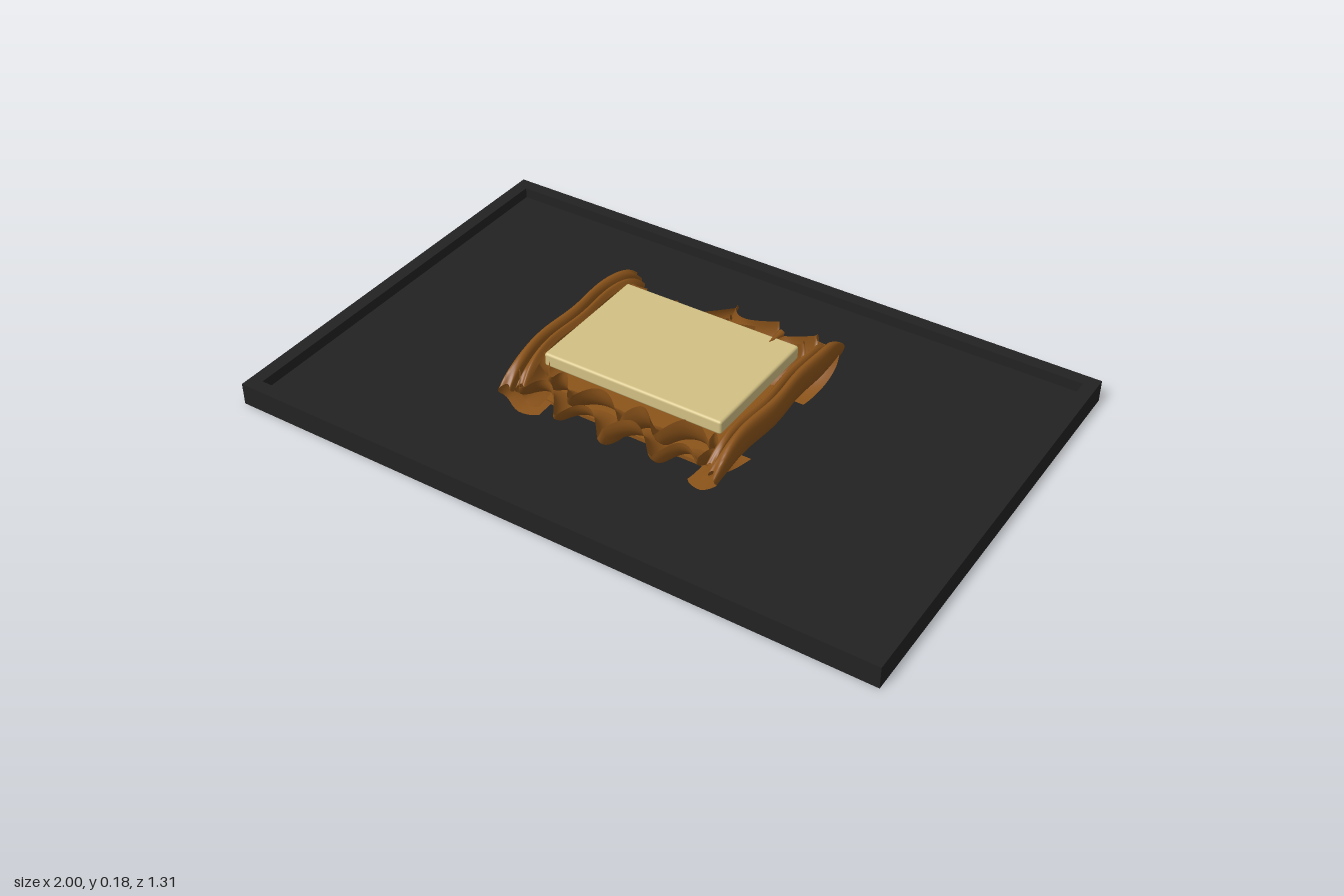
import * as THREE from 'three';
import { RoundedBoxGeometry } from 'three/addons/geometries/RoundedBoxGeometry.js';

const mat = (name, color, side = THREE.FrontSide) => {
  const m = new THREE.MeshStandardMaterial({ color, side });
  m.name = name;
  return m;
};

// Smooth sheet: point(u, v) places each vertex of a grid
function sheet(nu, nv, point) {
  const geo = new THREE.PlaneGeometry(1, 1, nu, nv);
  const pos = geo.attributes.position;
  for (let i = 0; i < pos.count; i++) {
    const p = point(pos.getX(i) + 0.5, pos.getY(i) + 0.5);
    pos.setXYZ(i, p[0], p[1], p[2]);
  }
  geo.computeVertexNormals();
  return geo;
}

export function createModel() {
  const group = new THREE.Group();
  const slate = mat('charcoal', 0x222222);
  const cream = mat('cream', 0xd2c083);
  const brown = mat('caramel brown', 0x8c541a, THREE.DoubleSide);
  const add = (name, geo, material, x = 0, y = 0, z = 0) => {
    const m = new THREE.Mesh(geo, material);
    m.name = name;
    m.position.set(x, y, z);
    group.add(m);
  };

  // Tray: floor plate with a raised rim
  const W = 1, D = 0.655, H = 0.068, R = 0.04, floorY = 0.035;
  const rect = (C, w, d) => {
    const s = new C();
    s.moveTo(-w, -d); s.lineTo(w, -d); s.lineTo(w, d); s.lineTo(-w, d); s.closePath();
    return s;
  };
  const rim = rect(THREE.Shape, W, D);
  rim.holes.push(rect(THREE.Path, W - R, D - R));
  const rimGeo = new THREE.ExtrudeGeometry(rim, { depth: H, bevelEnabled: false });
  rimGeo.rotateX(-Math.PI / 2);
  add('trayRim', rimGeo, slate);
  add('trayFloor', new THREE.BoxGeometry(2 * (W - R), floorY, 2 * (D - R)), slate, 0, floorY / 2);

  // Slab resting in the wrapper
  add('slab', new RoundedBoxGeometry(0.57, 0.043, 0.41, 3, 0.008), cream, -0.005, 0.1565, -0.005);

  // Wrapper underside
  add('wrapperBase', new THREE.BoxGeometry(0.6, 0.012, 0.46), brown, 0, floorY + 0.006);

  // Ruffled ends: [x, reach] for each pointed tip, rounded valleys between
  const ruffle = (tips, dir) => (u, v) => {
    const x0 = tips[0][0], x1 = tips[tips.length - 1][0];
    const x = x0 + (x1 - x0) * u;
    let k = 0;
    while (k < tips.length - 2 && x > tips[k + 1][0]) k++;
    const [a, b] = [tips[k], tips[k + 1]];
    const f = THREE.MathUtils.clamp((x - a[0]) / (b[0] - a[0]), 0, 1);
    const dip = Math.sin(Math.PI * Math.pow(f, 0.75));
    const reach = a[1] + (b[1] - a[1]) * f - dip * Math.min(0.075, (b[0] - a[0]) * 0.55);
    const height = 0.08 + 0.018 * dip + 0.012 * Math.sin(k * 2.3 + 1);
    const t = v * Math.PI / 2;
    const z = 0.14 + (reach - 0.14) * Math.sin(t);
    const sweep = 0.03 * Math.sin(x * 9 + dir) * v * (1 - v) * 2;
    return [x + sweep, 0.042 + height * (1 - Math.cos(t)), z * dir];
  };
  const frontTips = [[-0.35, 0.29], [-0.29, 0.315], [-0.15, 0.355], [0, 0.365], [0.16, 0.365],
    [0.27, 0.3], [0.34, 0.29]];
  const backTips = [[-0.35, 0.32], [-0.26, 0.27], [-0.16, 0.285], [0, 0.355], [0.15, 0.335],
    [0.26, 0.36], [0.34, 0.33]];
  add('frontRuffle', sheet(140, 14, ruffle(frontTips, 1)), brown);
  add('backRuffle', sheet(140, 14, ruffle(backTips, -1)), brown);

  // Inner pleats, shorter leaves standing behind each gap
  const inner = (tips) => tips.map(([x, z], i) => [x * 0.9 + (i % 2 ? 0.02 : -0.02), z - 0.07]);
  const raised = (fn) => (u, v) => {
    const p = fn(u, v);
    return [p[0], p[1] + 0.012 * v, p[2]];
  };
  add('frontPleats', sheet(140, 10, raised(ruffle(inner(frontTips), 1))), brown);
  add('backPleats', sheet(140, 10, raised(ruffle(inner(backTips), -1))), brown);

  // Side walls: curled cross-section run along z, lower at both ends
  const outerCurl = [[0.25, 0.042], [0.305, 0.05], [0.342, 0.085], [0.357, 0.13], [0.354, 0.168],
    [0.342, 0.181], [0.33, 0.168], [0.327, 0.135]];
  const innerCurl = [[0.27, 0.05], [0.305, 0.075], [0.322, 0.12], [0.324, 0.158], [0.312, 0.172],
    [0.3, 0.155]];
  const wall = (profile, side, zBack, zFront) => {
    const curve = new THREE.SplineCurve(profile.map(([x, y]) => new THREE.Vector2(x, y)));
    return sheet(48, 28, (u, v) => {
      const p = curve.getPoint(v);
      const e = Math.abs(2 * u - 1);
      const drop = 1 - 0.42 * Math.pow(e, 7);
      const z = zBack + (zFront - zBack) * u;
      const lean = -0.012 * Math.pow(e, 3) + 0.004 * Math.sin(z * 22 + side);
      // ragged, rounded end edges
      const ends = z * (1 - 0.1 * Math.pow(1 - v, 4) - 0.1 * Math.pow(v, 6)
        + 0.03 * Math.sin(v * 15) * e);
      return [side * (p.x + lean) - (side < 0 ? 0.008 : 0), 0.042 + (p.y - 0.042) * drop, ends];
    });
  };
  for (const [name, side, back, front] of [['left', 1, -0.355, 0.335], ['right', -1, -0.34, 0.325]]) {
    add(name + 'Wall', wall(outerCurl, side, back, front), brown);
    add(name + 'InnerFold', wall(innerCurl, side, back + 0.02, front - 0.03), brown);
  }

  // Small upright sliver at the back of the slab
  const sliver = new THREE.ConeGeometry(0.012, 0.07, 6);
  sliver.rotateX(Math.PI / 2 - 0.15);
  add('backSliver', sliver, brown, 0.205, 0.178, -0.205);

  return group;
}
